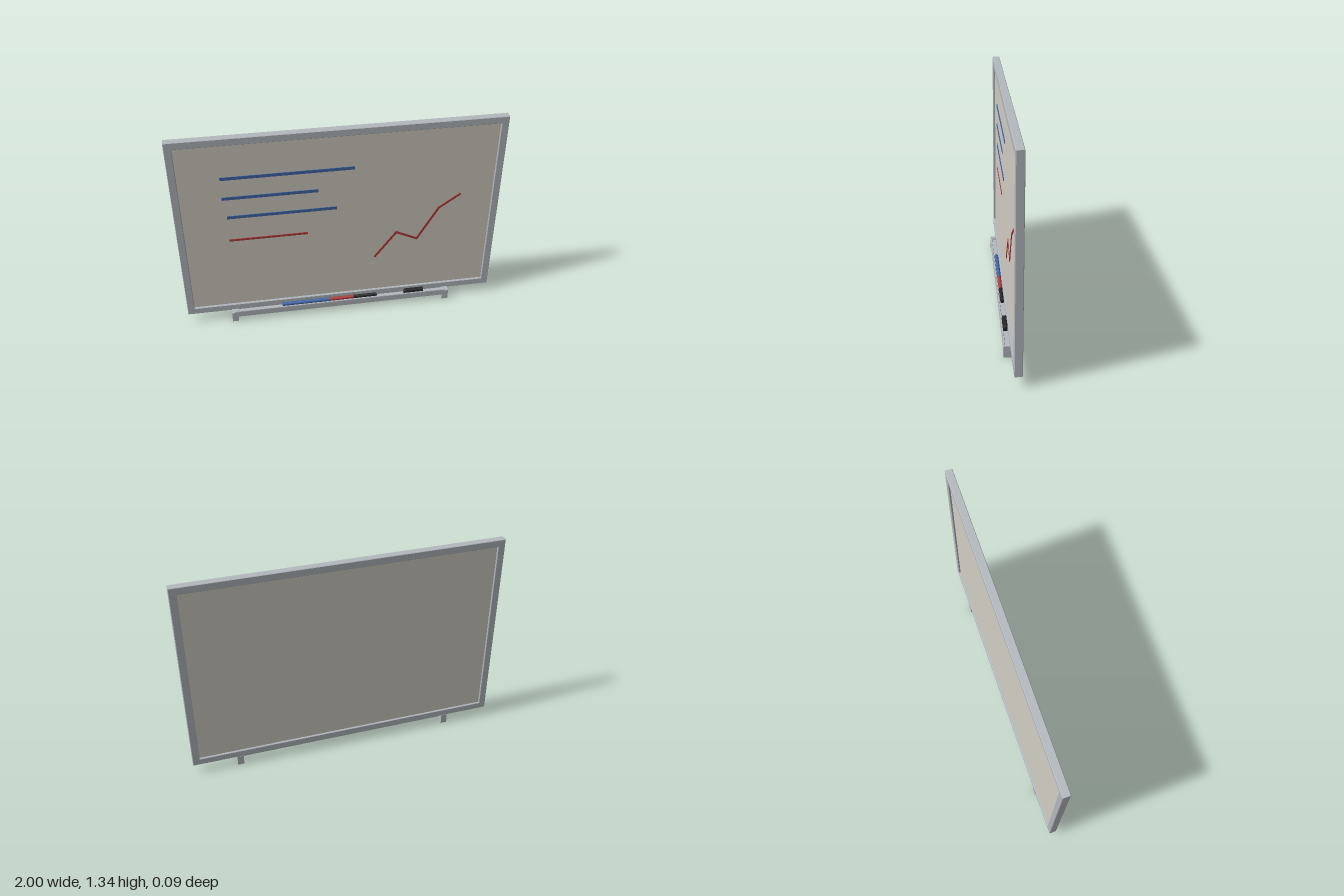
import * as THREE from 'three';
import { RoundedBoxGeometry } from 'three/addons/geometries/RoundedBoxGeometry.js';

const mat = (color) => new THREE.MeshStandardMaterial({ color });
const metal = mat(0xb4b9bf), surface = mat(0xd2cec4);
const blue = mat(0x4068a8), red = mat(0xb03c3c), black = mat(0x262626);

export function createModel() {
  const model = new THREE.Group();
  const add = (name, geometry, material, x = 0, y = 0, z = 0) => {
    const mesh = new THREE.Mesh(geometry, material);
    mesh.name = name;
    mesh.position.set(x, y, z);
    model.add(mesh);
    return mesh;
  };
  const box = (name, material, x0, x1, y0, y1, z0, z1) =>
    add(name, new THREE.BoxGeometry(x1 - x0, y1 - y0, z1 - z0), material,
      (x0 + x1) / 2, (y0 + y1) / 2, (z0 + z1) / 2);
  const rect = (Type, w, h) => {
    const path = new Type();
    path.moveTo(-w, -h);
    path.lineTo(w, -h);
    path.lineTo(w, h);
    path.lineTo(-w, h);
    path.closePath();
    return path;
  };

  // Frame: a rectangular ring with finely bevelled edges
  const b = 0.003, midY = 0.7;
  const ring = rect(THREE.Shape, 1 - b, 0.635 - b);
  ring.holes.push(rect(THREE.Path, 0.955 + b, 0.59 + b));
  add('frame', new THREE.ExtrudeGeometry(ring, {
    depth: 0.047 - 2 * b, bevelEnabled: true, bevelThickness: b, bevelSize: b, bevelSegments: 1,
  }), metal, 0, midY, -0.0425 + b);

  // Writing surface, recessed on both sides
  const face = -0.01;
  box('writingSurface', surface, -0.96, 0.96, 0.105, 1.295, -0.03, face);

  // Written lines
  [[-0.71, 0.085, 1.065, 0.02, blue], [-0.71, -0.135, 0.927, 0.02, blue],
    [-0.69, -0.025, 0.79, 0.02, blue], [-0.69, -0.205, 0.62, 0.014, red],
  ].forEach(([x0, x1, y, h, m]) =>
    box('writtenLine', m, x0, x1, y - h / 2, y + h / 2, face - 0.002, face + 0.004));

  // Drawn graph: one bar per segment
  const points = [[0.22, 0.38], [0.355, 0.56], [0.49, 0.495], [0.62, 0.72], [0.75, 0.81]];
  for (let i = 1; i < points.length; i++) {
    const [ax, ay] = points[i - 1], [bx, by] = points[i];
    const bar = add('graphLine',
      new THREE.BoxGeometry(Math.hypot(bx - ax, by - ay) + 0.006, 0.014, 0.006), red,
      (ax + bx) / 2, (ay + by) / 2, face + 0.001);
    bar.rotation.z = Math.atan2(by - ay, bx - ax);
  }

  // Pen tray: floor with a raised front lip, extruded along x
  const profile = new THREE.Shape([
    [0.01, 0.035], [0.01, 0.063], [-0.006, 0.063], [-0.006, 0.066], [-0.031, 0.066],
    [-0.034, 0.078], [-0.04, 0.078], [-0.0415, 0.074], [-0.0415, 0.035],
  ].map(([x, y]) => new THREE.Vector2(x, y)));
  const tray = add('penTray',
    new THREE.ExtrudeGeometry(profile, { depth: 1.4, bevelEnabled: false }), metal, -0.7);
  tray.rotation.y = Math.PI / 2;

  // Brackets at the tray ends, reaching under the frame
  for (const s of [-1, 1]) {
    const bracket = new THREE.Shape([
      [0.0425, 0], [0.0425, 0.066], [-0.005, 0.066], [-0.005, 0.073],
      [-0.038, 0.073], [-0.0425, 0.069], [-0.0425, 0],
    ].map(([x, y]) => new THREE.Vector2(x, y)));
    const mesh = add(s < 0 ? 'rightBracket' : 'leftBracket',
      new THREE.ExtrudeGeometry(bracket, { depth: 0.04, bevelEnabled: false }),
      metal, s * 0.7 - 0.02);
    mesh.rotation.y = Math.PI / 2;
  }

  // Three overlapping markers lying in the tray
  [['blueMarker', blue, -0.235, 0.0125], ['redMarker', red, -0.075, 0.012],
    ['blackMarker', black, 0.08, 0.0115],
  ].forEach(([name, m, x, r]) => {
    add(name, new THREE.CylinderGeometry(r, r, 0.31, 12), m, x, 0.081, 0.018)
      .rotation.z = Math.PI / 2;
  });

  // Eraser with a sloping front
  const eraser = new RoundedBoxGeometry(0.132, 0.03, 0.03, 2, 0.005);
  const p = eraser.attributes.position;
  for (let i = 0; i < p.count; i++) {
    if (p.getZ(i) > 0) p.setZ(i, p.getZ(i) - (p.getY(i) + 0.015) * 0.2);
  }
  eraser.computeVertexNormals();
  add('eraser', eraser, black, 0.485, 0.081, 0.021);

  return model;
}
